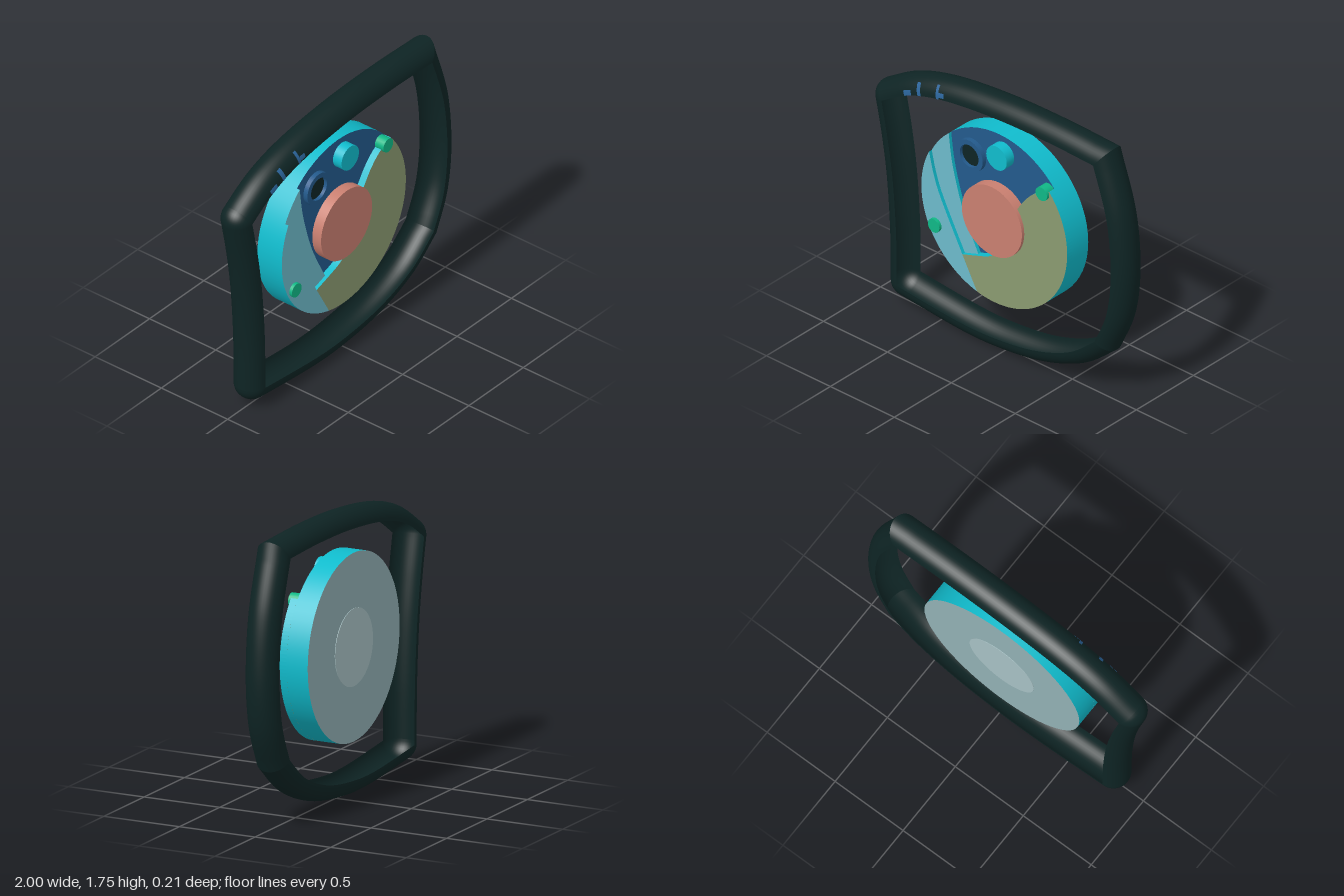
import * as THREE from 'three';

const mat = (name, color, side = THREE.FrontSide) => {
  const m = new THREE.MeshStandardMaterial({ color, side });
  m.name = name;
  return m;
};
const V = (x, y) => new THREE.Vector2(x, y);
const RAD = Math.PI / 180;

export function createModel() {
  const dark = mat('dark frame', 0x0e2424, THREE.DoubleSide);
  const mark = mat('blue mark', 0x2a6399, THREE.DoubleSide);
  const navy = mat('deep blue', 0x235a8c);
  const cyan = mat('cyan', 0x10bccd);
  const sky = mat('light blue', 0x6dbaca);
  const olive = mat('olive', 0x8a9a70);
  const coral = mat('coral', 0xc97f70);
  const green = mat('green', 0x10b886);
  const grey = mat('blue grey', 0x91afb3);
  const pale = mat('pale grey', 0xa6c0c3);

  const model = new THREE.Group();
  model.name = 'framedDial';
  const add = (parent, name, geometry, material) => {
    const mesh = new THREE.Mesh(geometry, material);
    mesh.name = name;
    parent.add(mesh);
    return mesh;
  };

  // Frame centre line, clockwise from the top left corner
  const sides = {
    frameTop: [[-0.9, 1.38], [-0.68, 1.51], [-0.4, 1.59], [0, 1.635], [0.4, 1.645], [0.755, 1.635]],
    frameRight: [[0.755, 1.635], [0.86, 1.3], [0.893, 0.95], [0.86, 0.65], [0.765, 0.42]],
    frameBottom: [[0.765, 0.42], [0.57, 0.265], [0.3, 0.16], [0, 0.113], [-0.3, 0.107], [-0.78, 0.15]],
    frameLeft: [[-0.78, 0.15], [-0.785, 0.5], [-0.81, 0.85], [-0.85, 1.13], [-0.9, 1.38]],
  };
  const names = Object.keys(sides);
  const curves = names.map(n => new THREE.SplineCurve(sides[n].map(p => V(...p))));
  const outward = (curve, u) => {
    const t = curve.getTangentAt(u);
    return V(-t.y, t.x);
  };
  const sample = (curve, u0, u1, n) => Array.from({ length: n + 1 }, (_, i) => {
    const u = u0 + (u1 - u0) * i / n;
    return { p: curve.getPointAt(u), n: outward(curve, u) };
  });

  // Sweep an arc of a circle along stations of point and outward direction
  const sweep = (stations, r, a0, a1, steps) => {
    const pos = [], index = [];
    stations.forEach(({ p, n }, i) => {
      for (let j = 0; j <= steps; j++) {
        const a = (a0 + (a1 - a0) * j / steps) * RAD;
        pos.push(p.x + n.x * r * Math.cos(a), p.y + n.y * r * Math.cos(a), r * Math.sin(a));
        if (i && j) {
          const d = i * (steps + 1) + j, b = d - steps - 1;
          index.push(b - 1, d - 1, b, b, d - 1, d);
        }
      }
    });
    const g = new THREE.BufferGeometry();
    g.setAttribute('position', new THREE.Float32BufferAttribute(pos, 3));
    g.setIndex(index);
    g.computeVertexNormals();
    return g;
  };

  // Half round channel: mitred corners on the right, rounded on the left
  const mitre = (a, b) => a.clone().add(b).divideScalar(1 + a.dot(b));
  curves.forEach((curve, i) => {
    const stations = sample(curve, 0, 1, 40);
    const first = stations[0], last = stations[40];
    if (i === 1 || i === 2) first.n = mitre(outward(curves[i - 1], 1), first.n);
    const nextN = outward(curves[(i + 1) % 4], 0);
    if (i < 2) last.n = mitre(last.n, nextN);
    else {
      const start = last.n.clone();
      let turn = nextN.angle() - start.angle();
      if (turn > 0) turn -= 2 * Math.PI;
      for (let k = 1; k <= 10; k++) {
        stations.push({ p: last.p, n: start.clone().rotateAround(V(0, 0), turn * k / 10) });
      }
    }
    add(model, names[i], sweep(stations, 0.105, -90, 90, 20), dark);
  });

  // Small blue marks on both faces of the channel
  [[0.125, 0.16, 90, 72], [0.19, 0.206, 90, 45], [0.278, 0.29, 90, 42], [0.29, 0.315, 84, 68]]
    .forEach(([u0, u1, a0, a1]) => [0.1035, 0.1065].forEach(r =>
      add(model, 'frameMark', sweep(sample(curves[0], u0, u1, 4), r, a1, a0, 6), mark)));

  // Dial
  const dial = new THREE.Group();
  dial.name = 'dial';
  dial.position.set(-0.035, 0.915, 0);
  model.add(dial);
  const R = 0.57, FLOOR = 0.04;
  const disc = (name, x, y, r, z0, z1, material, segments = 48) => {
    const g = new THREE.CylinderGeometry(r, r, z1 - z0, segments).rotateX(Math.PI / 2);
    add(dial, name, g, material).position.set(x, y, (z0 + z1) / 2);
  };
  const raised = (name, shape, z1, material) => {
    const g = new THREE.ExtrudeGeometry(shape, { depth: z1 - FLOOR, bevelEnabled: false, curveSegments: 32 });
    add(dial, name, g, material).position.z = FLOOR;
  };
  disc('dialBody', 0, 0, R, -0.1, FLOOR, [cyan, navy, grey], 64);

  // Raised panels, each a rim arc closed by inner edges
  const arc = (a0, a1) => new THREE.Shape().absarc(0, 0, R, a0 * RAD, a1 * RAD, false);
  const leftPanel = arc(153.4, 256.2);
  leftPanel.splineThru([V(-0.25, -0.345), V(-0.41, -0.045), V(-0.47, 0.1), V(-0.51, 0.255)]);
  raised('leftPanel', leftPanel, 0.085, [sky, cyan]);

  const strip = arc(131.4, 153.4);
  strip.splineThru([V(-0.47, 0.1), V(-0.41, -0.045), V(-0.25, -0.345)]);
  strip.lineTo(-0.145, -0.31);
  strip.splineThru([V(-0.265, -0.055), V(-0.345, 0.215), V(-0.377, 0.428)]);
  raised('leftStrip', strip, 0.062, [sky, cyan]);

  const lower = arc(-103.8, 41);
  lower.splineThru([V(0.33, 0.325), V(0.25, 0.25), V(0.18, 0.15)]);
  lower.lineTo(0.03, -0.225);
  lower.splineThru([V(-0.05, -0.275), V(-0.145, -0.31), V(-0.25, -0.345)]);
  raised('lowerPanel', lower, 0.085, [olive, cyan]);

  // Hub, with its flush cap at the back
  disc('hub', 0, 0, 0.235, 0, 0.106, coral);
  disc('backCap', 0, 0, 0.235, -0.103, -0.098, pale);

  // Collared dark eyelet
  const ring = new THREE.Shape().absarc(-0.21, 0.345, 0.106, 0, 2 * Math.PI, false);
  ring.holes.push(new THREE.Path().absarc(-0.21, 0.345, 0.073, 0, 2 * Math.PI, true));
  raised('eyeletCollar', ring, 0.07, navy);
  disc('eyelet', -0.21, 0.345, 0.0735, FLOOR, 0.048, dark);

  // Knobs
  disc('topKnob', 0.035, 0.45, 0.08, FLOOR, 0.105, cyan);
  disc('rightKnob', 0.385, 0.35, 0.045, FLOOR, 0.105, green, 24);
  disc('leftKnob', -0.457, -0.227, 0.045, FLOOR, 0.105, green, 24);

  return model;
}
